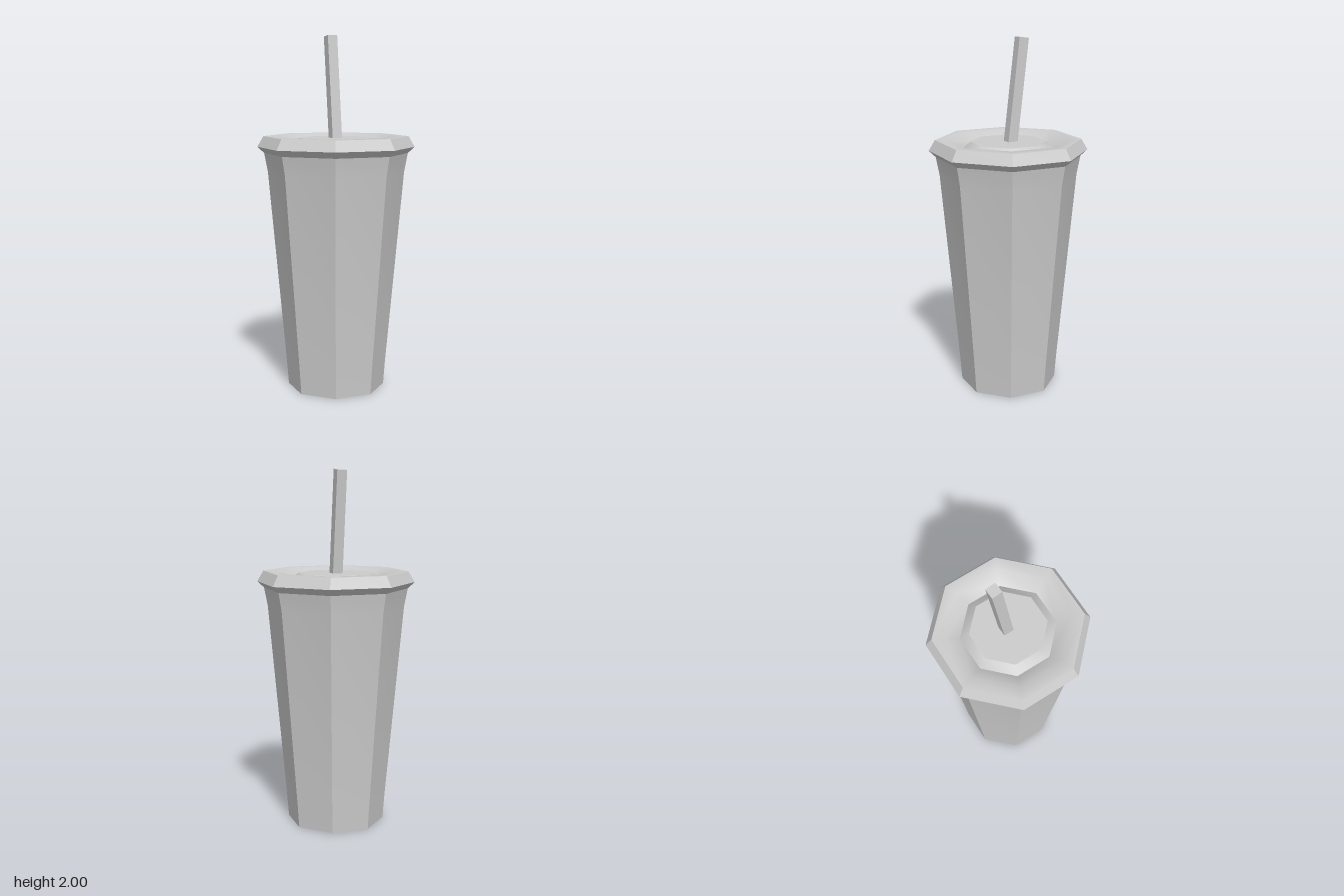
import * as THREE from 'three';
import { toCreasedNormals } from 'three/addons/utils/BufferGeometryUtils.js';

const SIDES = 8;
const material = new THREE.MeshStandardMaterial({ color: 0xcccccc });

// Eight-sided turned part; profile is [radius, height] from bottom to top
function turned(name, profile) {
  const points = profile.map(([r, y]) => new THREE.Vector2(r, y));
  const geometry = toCreasedNormals(new THREE.LatheGeometry(points, SIDES), 0.62);
  const mesh = new THREE.Mesh(geometry, material);
  mesh.name = name;
  return mesh;
}

export function createModel() {
  const group = new THREE.Group();
  group.name = 'drinkCup';

  // Tapered cup, flaring just below the lid
  group.add(turned('cup', [
    [0, 0], [0.275, 0], [0.285, 0.13], [0.385, 1.24], [0.405, 1.345],
  ]));

  // Lid: bevelled rim, ring-shaped gutter and flat centre
  group.add(turned('lid', [
    [0.405, 1.345], [0.443, 1.38], [0.408, 1.44], [0.338, 1.44],
    [0.26, 1.39], [0.21, 1.43], [0, 1.43],
  ]));

  // Square straw leaning to the back and slightly to the right
  const length = 0.6;
  const straw = new THREE.Mesh(new THREE.BoxGeometry(0.057, length, 0.057), material);
  straw.name = 'straw';
  straw.geometry.translate(0, -length / 2, 0); // pivot at the upper end
  straw.position.set(-0.031, 1.997, -0.075);
  straw.rotation.set(-0.118, 0.42, 0, 'YXZ');
  group.add(straw);

  return group;
}
